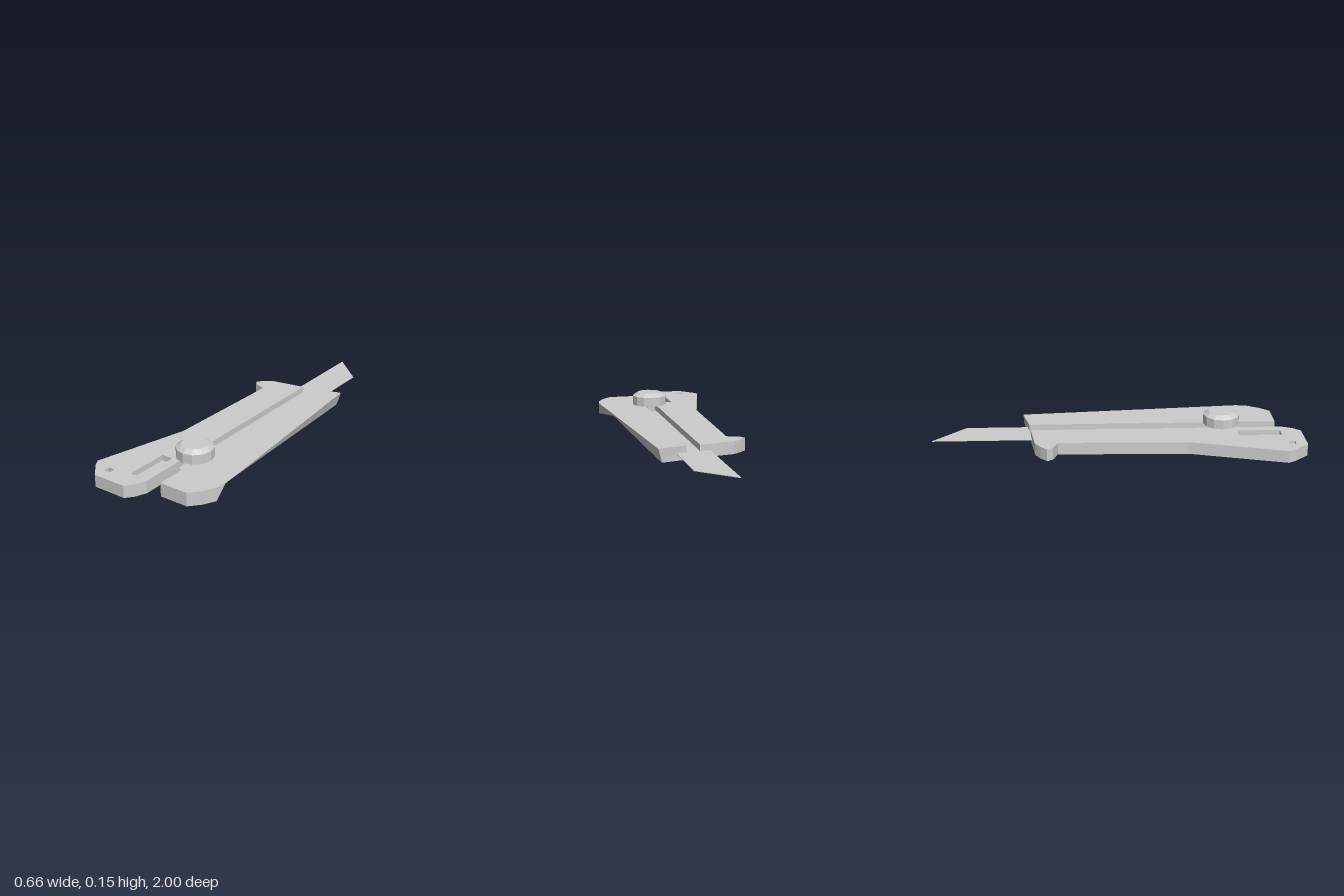
import * as THREE from 'three';

const material = new THREE.MeshStandardMaterial({ color: 0xcccccc, flatShading: true, side: THREE.DoubleSide });

function part(name, geometry) {
  const mesh = new THREE.Mesh(geometry, material);
  mesh.name = name;
  return mesh;
}

// Upright plate from an outline of [x, z] points, between heights y0 and y1
function plate(outline, y0, y1, holes = []) {
  const flip = (pts) => pts.map(([x, z]) => new THREE.Vector2(x, -z));
  const shape = new THREE.Shape(flip(outline));
  shape.holes = holes.map((h) => new THREE.Path(flip(h)));
  const g = new THREE.ExtrudeGeometry(shape, { depth: y1 - y0, bevelEnabled: false });
  return g.rotateX(-Math.PI / 2).translate(0, y0, 0);
}

const rect = (x0, x1, z0, z1) => [[x0, z0], [x1, z0], [x1, z1], [x0, z1]];

// Solid between two outlines with the same number of [x, z] corners
function loft(top, bottom, y0, y1) {
  const n = top.length;
  const pos = [], index = [];
  for (const [x, z] of top) pos.push(x, y1, z);
  for (const [x, z] of bottom) pos.push(x, y0, z);
  const cap = (pts) => THREE.ShapeUtils.triangulateShape(pts.map(([x, z]) => new THREE.Vector2(x, -z)), []);
  for (const [a, b, c] of cap(top)) index.push(a, b, c);
  for (const [a, b, c] of cap(bottom)) index.push(n + a, n + c, n + b);
  for (let i = 0; i < n; i++) {
    const j = (i + 1) % n;
    index.push(i, n + i, j, j, n + i, n + j);
  }
  const g = new THREE.BufferGeometry();
  g.setAttribute('position', new THREE.Float32BufferAttribute(pos, 3));
  g.setIndex(index);
  const flat = g.toNonIndexed();
  flat.computeVertexNormals();
  return flat;
}

export function createModel() {
  const model = new THREE.Group();
  model.name = 'utilityKnife';

  // Hooked handle half: lower layer closes the slot, upper layer is cut by it
  const hooked = [
    [0.005, -0.47], [-0.18, -0.44], [-0.225, -0.41], [-0.26, -0.375], [-0.24, -0.345],
    [-0.175, -0.32], [-0.195, 0.38], [-0.33, 0.885], [-0.31, 0.92], [-0.24, 1],
    [-0.055, 1], [-0.02, 0.96], [0.005, 0.9],
  ];
  const cordHole = rect(-0.235, -0.198, 0.905, 0.94);
  const slot = rect(-0.107, -0.043, 0.652, 0.887);
  const hookedHalf = new THREE.Group();
  hookedHalf.name = 'hookedHandleHalf';
  hookedHalf.add(
    part('lowerLayer', plate(hooked, 0.007, 0.045, [cordHole])),
    part('slottedLayer', plate(hooked, 0.045, 0.074, [cordHole, slot])),
  );
  model.add(hookedHalf);

  // Tapered handle half, its outer side undercut towards the grip end
  const top = [
    [0.075, 0.88], [0.235, 0.88], [0.285, 0.825], [0.32, 0.76],
    [0.33, 0.7], [0.239, -0.41], [0.23, -0.52], [0.075, -0.48],
  ];
  const bottom = top.map((p) => [...p]);
  bottom[4] = [0.25, 0.66];
  bottom[5] = [0.215, -0.41];
  bottom[6] = [0.21, -0.51];
  model.add(part('taperedHandleHalf', loft(top, bottom, 0.003, 0.077)));

  // Thin blade running through both halves
  model.add(part('blade', plate([[-0.05, -1], [0.13, -0.83], [0.13, 0.715], [-0.05, 0.635]], 0.038, 0.041)));

  // Locking knob and its stem
  const profile = [[0, 0.075], [0.035, 0.075], [0.099, 0.086], [0.099, 0.138], [0.071, 0.157], [0, 0.157]];
  const knob = part('knob', new THREE.LatheGeometry(profile.map((p) => new THREE.Vector2(...p)), 12));
  knob.position.set(0.045, 0, 0.575);
  const stem = part('knobStem', new THREE.CylinderGeometry(0.032, 0.032, 0.072, 12));
  stem.position.set(0.043, 0.043, 0.575);
  model.add(knob, stem);

  return model;
}
